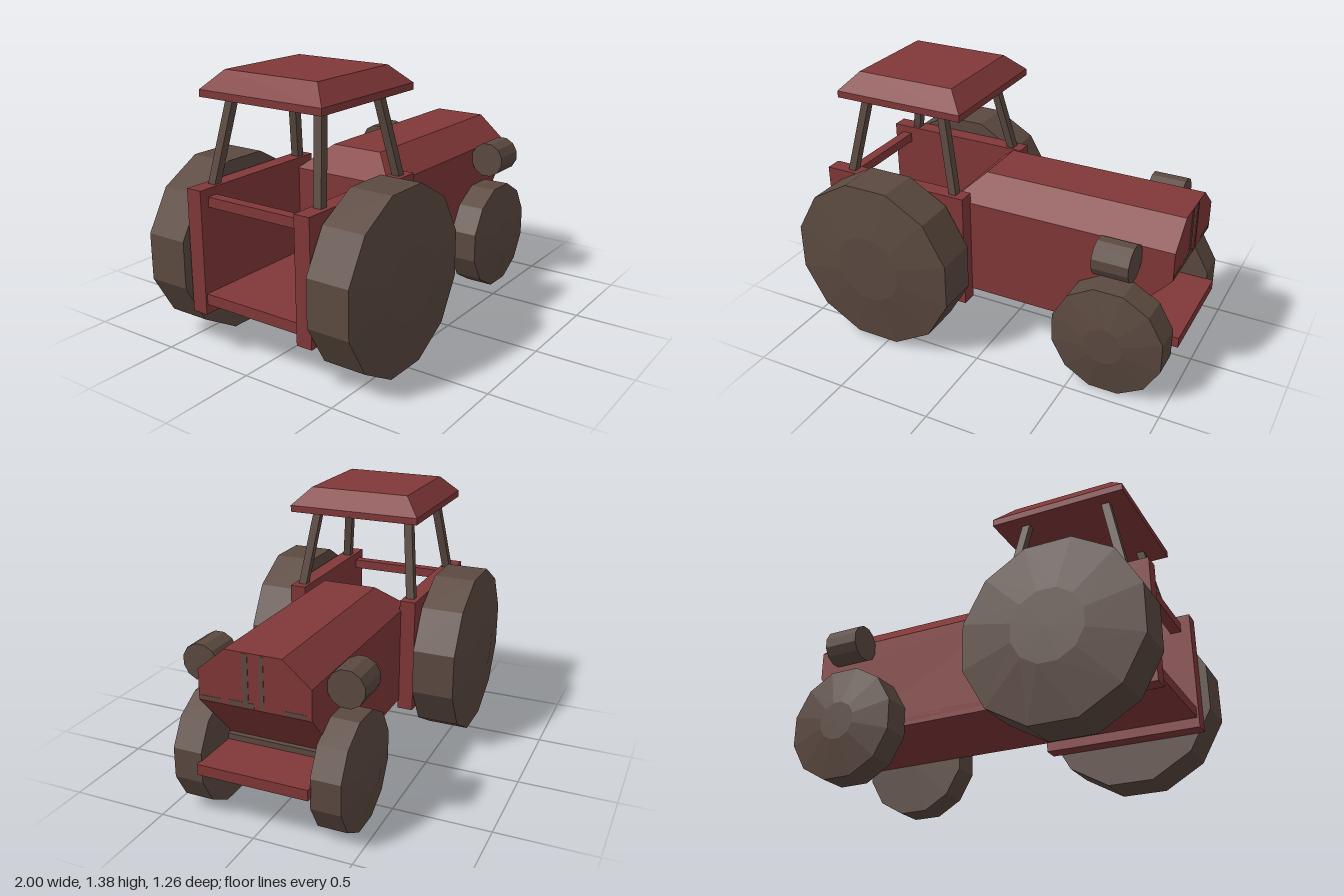
import * as THREE from 'three';
import { ConvexGeometry } from 'three/addons/geometries/ConvexGeometry.js';

export function createModel() {
  const model = new THREE.Group();
  model.name = 'tractor';
  const red = new THREE.MeshStandardMaterial({ color: 0x813738 });
  red.name = 'barn red';
  const brown = new THREE.MeshStandardMaterial({ color: 0x5b4940 });
  brown.name = 'dark brown';

  function add(name, geometry, material) {
    const mesh = new THREE.Mesh(geometry, material);
    mesh.name = name;
    model.add(mesh);
    return mesh;
  }
  // Box given by its minimum and maximum corners
  function box(name, x0, x1, y0, y1, z0, z1, material) {
    const g = new THREE.BoxGeometry(x1 - x0, y1 - y0, z1 - z0);
    g.translate((x0 + x1) / 2, (y0 + y1) / 2, (z0 + z1) / 2);
    return add(name, g, material);
  }
  // Convex solid, mirrored across z = 0
  function mirroredHull(name, points, material) {
    const pts = points.flatMap(([x, y, z]) => [new THREE.Vector3(x, y, z), new THREE.Vector3(x, y, -z)]);
    return add(name, new ConvexGeometry(pts), material);
  }
  function faceted(geometry) {
    const g = geometry.toNonIndexed();
    g.computeVertexNormals();
    return g;
  }

  // Chassis plate, which also forms the front bumper and cab floor
  box('chassis', -0.95, 1.0, 0.27, 0.325, -0.285, 0.285, red);

  // Hood with bevelled top, sloping dashboard and undercut nose
  mirroredHull('hood', [
    [-0.245, 0.3, 0.285], [0.66, 0.32, 0.285],
    [0.945, 0.635, 0.285], [0.945, 0.785, 0.285], [0.945, 0.905, 0.145],
    [-0.115, 0.905, 0.145], [-0.245, 0.785, 0.285],
  ], red);

  // Grille marks on the nose
  const marks = [
    [0.028, 0.055, 0.65, 0.9], [-0.05, -0.03, 0.65, 0.9],
    [0.17, 0.27, 0.64, 0.66], [0.0, 0.13, 0.64, 0.665], [-0.26, -0.15, 0.64, 0.66],
  ];
  for (const [z0, z1, y0, y1] of marks) box('grilleMark', 0.943, 0.947, y0, y1, z0, z1, brown);

  box('frontAxle', 0.64, 0.72, 0.3, 0.355, -0.28, 0.28, brown);

  // Cab roof: rim and tapered top
  mirroredHull('roof', [
    [-0.855, 1.255, 0.357], [-0.145, 1.255, 0.357],
    [-0.855, 1.29, 0.357], [-0.145, 1.29, 0.357],
    [-0.77, 1.38, 0.27], [-0.235, 1.38, 0.27],
  ], red);

  // Rear cross bar between the fenders
  box('rearBar', -0.91, -0.855, 0.75, 0.8, -0.28, 0.28, red);

  // Twelve-sided wheel with a shallow domed outer face
  function wheel(name, x, y, radius, hub, inner, outer, dome, side) {
    const profile = [[0, inner], [radius, inner], [radius, outer], [hub, dome], [0, dome]]
      .map(([r, d]) => new THREE.Vector2(r, d));
    const g = faceted(new THREE.LatheGeometry(profile, 12, Math.PI / 12));
    g.rotateX(side * Math.PI / 2);
    g.translate(x, y, 0);
    add(name, g, brown);
  }

  // Slanted square cab post
  function post(x0, x1, side) {
    const pts = [];
    for (const [x, y, z] of [[x0, 0.82, 0.319], [x1, 1.27, 0.257]])
      for (const dx of [-0.021, 0.021])
        for (const dz of [-0.022, 0.022]) pts.push(new THREE.Vector3(x + dx, y, side * (z + dz)));
    add('cabPost', new ConvexGeometry(pts), brown);
  }

  for (const side of [1, -1]) {
    const tag = side > 0 ? 'left' : 'right';
    const zs = [0.278 * side, 0.363 * side].sort((a, b) => a - b);
    box(tag + 'Fender', -0.96, -0.14, 0.22, 0.84, zs[0], zs[1], red);

    wheel(tag + 'RearWheel', -0.556, 0.462, 0.458, 0.185, 0.37, 0.595, 0.63, side);
    wheel(tag + 'FrontWheel', 0.68, 0.287, 0.297, 0.1, 0.28, 0.43, 0.467, side);

    post(-0.83, -0.733, side);
    post(-0.207, -0.302, side);

    // Headlamp drum
    const lamp = faceted(new THREE.CylinderGeometry(0.095, 0.095, 0.185, 12, 1, false, Math.PI / 12));
    lamp.rotateZ(-Math.PI / 2);
    lamp.translate(0.693, 0.738, side * 0.374);
    add(tag + 'Headlamp', lamp, brown);
  }
  return model;
}
